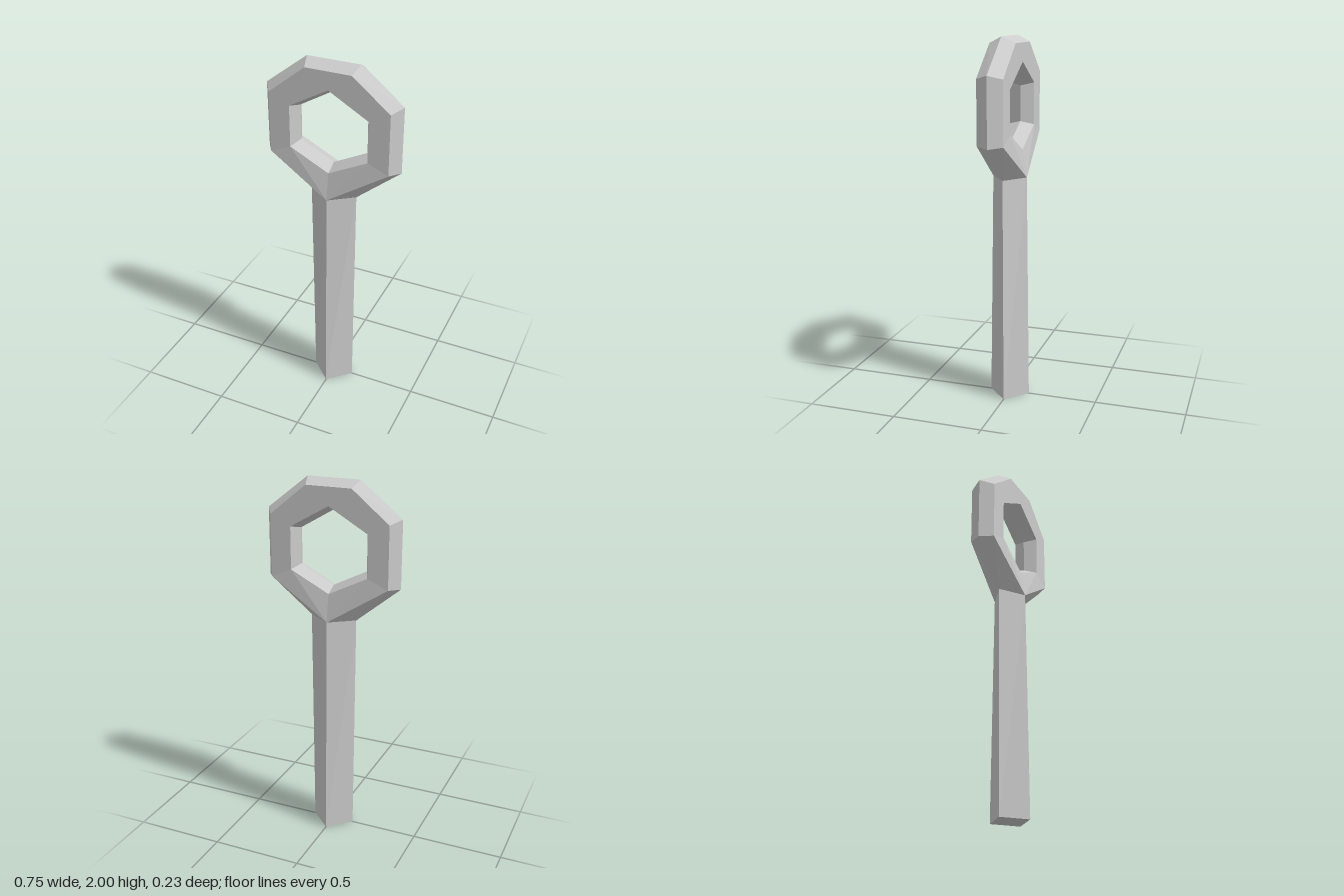
import * as THREE from 'three';

const NECK_Y = 1.255;

// Half outlines of the ring head (x, y, z), top to bottom, from outer ridge to inner ridge
const rows = [
  // outer ridge
  [[0, 2, 0], [0.145, 2, 0], [0.375, 1.82, 0], [0.375, 1.457, 0], [0.13, NECK_Y, 0]],
  // rim of the flat face, meeting the shaft edge at the bottom
  [[0, 1.966, 0.07], [0.126, 1.966, 0.07], [0.33, 1.8, 0.07], [0.33, 1.465, 0.07], [0, NECK_Y, 0.095]],
  // rim of the hexagonal hole
  [[0, 1.868, 0.07], [0.108, 1.806, 0.07], [0.216, 1.744, 0.07], [0.216, 1.514, 0.07], [0, 1.405, 0.07]],
  // narrowest line inside the hole
  [[0, 1.838, 0], [0.094, 1.782, 0], [0.187, 1.727, 0], [0.187, 1.532, 0], [0, 1.437, 0]],
];

// Bridges the outlines and mirrors them left/right and front/back
function headGeometry() {
  const positions = [];
  for (const sx of [1, -1]) for (const sz of [1, -1]) {
    const triangle = (p, q, r) => {
      for (const [x, y, z] of sx * sz > 0 ? [p, q, r] : [p, r, q]) positions.push(sx * x, y, sz * z);
    };
    for (let j = 0; j < rows.length - 1; j++) {
      for (let i = 0; i < rows[j].length - 1; i++) {
        const a = rows[j][i], b = rows[j][i + 1], c = rows[j + 1][i + 1], d = rows[j + 1][i];
        triangle(a, d, b);
        triangle(d, c, b);
      }
    }
  }
  const geometry = new THREE.BufferGeometry();
  geometry.setAttribute('position', new THREE.Float32BufferAttribute(positions, 3));
  geometry.computeVertexNormals();
  return geometry;
}

// Diamond-section shaft: slightly wider in x and thinner in z towards the neck
function shaftGeometry() {
  const geometry = new THREE.CylinderGeometry(1, 1, NECK_Y, 4, 1);
  geometry.translate(0, NECK_Y / 2, 0);
  const p = geometry.attributes.position;
  for (let i = 0; i < p.count; i++) {
    const t = p.getY(i) / NECK_Y;
    p.setX(i, p.getX(i) * THREE.MathUtils.lerp(0.12, 0.13, t));
    p.setZ(i, p.getZ(i) * THREE.MathUtils.lerp(0.113, 0.095, t));
  }
  geometry.computeVertexNormals();
  return geometry;
}

export function createModel() {
  const material = new THREE.MeshStandardMaterial({ color: 0xcccccc, flatShading: true });
  const group = new THREE.Group();
  group.name = 'ringHeadedPin';

  const shaft = new THREE.Mesh(shaftGeometry(), material);
  shaft.name = 'shaft';
  const head = new THREE.Mesh(headGeometry(), material);
  head.name = 'ringHead';

  group.add(shaft, head);
  return group;
}
